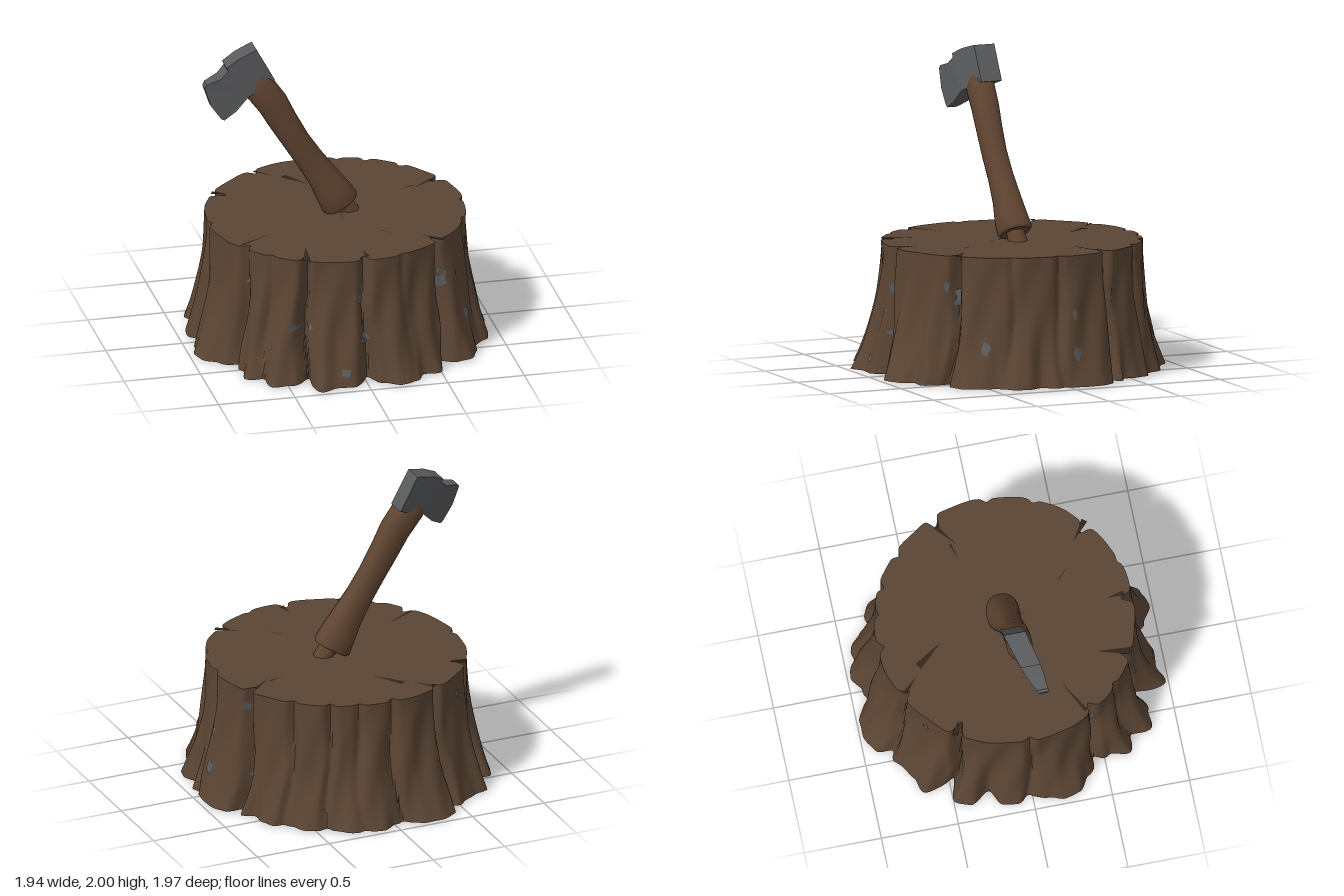
import * as THREE from 'three';
import { toCreasedNormals } from 'three/addons/utils/BufferGeometryUtils.js';

const mat = (name, color, side = THREE.FrontSide) => {
  const m = new THREE.MeshStandardMaterial({ color, side });
  m.name = name;
  return m;
};
const rad = THREE.MathUtils.degToRad;

// Root outline: radius at ground level every 6 degrees, from +x towards +z
const ROOTS = [
  .96, .955, .91, .98, .99, .94, .98, 1, .95, .91, .98, .93, 1.01, 1.01, .93,
  .87, .955, .96, 1.03, .93, .97, 1.03, .96, 1, .9, .9, .93, .99, .99, .95,
  .92, .945, .95, .87, .98, .99, .92, 1.01, .96, .95, .97, 1.01, 1.03, 1.01, .95,
  .92, .985, .98, .98, .95, .955, .96, .92, .96, .93, .88, .94, .96, .98, .975];
// Bark crevices: angle, depth
const CREVICES = [
  [3, .025], [24, .02], [50, .08], [72, .015], [90, .075], [117, .1], [133, .025], [148, .06],
  [180, .03], [213, .1], [243, .06], [268, .04], [284, .025], [297, .04], [314, .035], [337, .1]];

const topY = x => .826 + .012 * x;

// Point on the bark at an angle in degrees and a height fraction t
function bark(deg, t, out = 0) {
  const d = ((deg % 360) + 360) % 360, k = d / 6, i = Math.floor(k), f = k - i;
  const root = THREE.MathUtils.lerp(ROOTS[i], ROOTS[(i + 1) % 60], f * f * (3 - 2 * f));
  const a = rad(d), w = Math.pow(1 - t, 2.2);
  let r = THREE.MathUtils.lerp(.832, root, w);
  r += .006 * Math.sin(a * 13 + 3 * t) * Math.sin(a * 5 + 1);
  r += .012 * Math.sin(a * 23 + 5 * t) * Math.sin(Math.PI * t);
  CREVICES.forEach(([c, depth], n) => {
    const mid = c + 2 * Math.sin(t * 6 + n) * (1 - t);
    const off = Math.abs(((d - mid + 540) % 360) - 180);
    r -= depth * Math.exp(-((off / 1.9) ** 2));
  });
  r += out;
  const x = r * Math.cos(a);
  return [x, .008 + t * (topY(x) - .008), r * Math.sin(a)];
}

// Closed tube of rings; point(i, j) gives the position
function loft(cols, rows, point) {
  const pos = [], idx = [];
  for (let j = 0; j < rows; j++) for (let i = 0; i < cols; i++) pos.push(...point(i, j));
  for (let j = 0; j < rows - 1; j++) for (let i = 0; i < cols; i++) {
    const n = (i + 1) % cols, a = j * cols + i, b = j * cols + n;
    idx.push(a, a + cols, b, b, a + cols, b + cols);
  }
  return build(pos, idx);
}

// Fan that closes a ring
function cap(cols, centre, point, up) {
  const pos = [...centre], idx = [];
  for (let i = 0; i < cols; i++) {
    pos.push(...point(i));
    const a = i + 1, b = (i + 1) % cols + 1;
    idx.push(0, up ? b : a, up ? a : b);
  }
  return build(pos, idx);
}

function build(pos, idx) {
  const g = new THREE.BufferGeometry();
  g.setAttribute('position', new THREE.Float32BufferAttribute(pos, 3));
  g.setIndex(idx);
  g.computeVertexNormals();
  return g;
}

export function createModel() {
  const wood = mat('stump brown', 0x5b4534);
  const handleWood = mat('handle brown', 0x5f4431);
  const steel = mat('steel grey', 0x5a5b5d);
  const lichen = mat('lichen grey', 0x5a5d60, THREE.DoubleSide);
  const crackDark = mat('crack brown', 0x33261c, THREE.DoubleSide);

  const model = new THREE.Group();
  const add = (parent, name, geo, material) => {
    const m = new THREE.Mesh(geo, material);
    m.name = name;
    parent.add(m);
    return m;
  };
  const group = name => {
    const g = new THREE.Group();
    g.name = name;
    model.add(g);
    return g;
  };

  // Stump
  const stump = group('stump'), N = 360, ROWS = 15;
  add(stump, 'bark', toCreasedNormals(loft(N, ROWS, (i, j) => bark(i, j / (ROWS - 1))), .8), wood);
  add(stump, 'cutTop', cap(N, [0, topY(0), 0], i => bark(i, 1), true), wood);
  add(stump, 'underside', cap(N, [0, 0, 0], i => bark(i, 0), false), wood);

  // Cracks in the cut top: start, end, half width at the start
  const cracks = [
    [-.36, .74, -.32, .53, .025], [-.7, .39, -.48, .27, .012], [-.2, -.6, -.07, -.43, .025],
    [.57, -.24, .46, -.21, .008], [.02, .05, .02, .17, .004], [.2, .39, .28, .47, .004],
    [.7, -.31, .56, -.2, .015], [.56, .63, .43, .53, .02], [.03, .78, .02, .67, .018],
    [-.36, -.72, -.26, -.62, .014], [-.7, -.46, -.6, -.42, .02]];
  for (const [x0, z0, x1, z1, w] of cracks) {
    const l = Math.hypot(x1 - x0, z1 - z0), nx = -(z1 - z0) / l * w, nz = (x1 - x0) / l * w;
    const pts = [[x0 + nx, z0 + nz], [x1, z1], [x0 - nx, z0 - nz]];
    add(stump, 'crack', build(pts.flatMap(([x, z]) => [x, topY(x) + .003, z]), [0, 1, 2]), crackDark);
  }

  // Lichen spots on the bark: angle, height fraction, half angle, half height
  const spots = [
    [147, .7, 1.5, .03], [121, .44, 1.7, .025], [114, .45, 1, .025], [92, .67, 1.2, .05],
    [90, .33, 2, .045], [99, .11, 2, .03], [49, .67, 2.6, .08], [54, .76, 1, .04],
    [35, .3, 2, .05], [-3, .55, 1, .04], [-3, .25, 1.8, .05], [-21, .85, 1, .03],
    [-24, .29, 1, .03], [228, .85, 1.6, .03]];
  for (const [a, t, da, dt] of spots) {
    const rim = i => {
      const q = i / 10 * Math.PI * 2, s = 1 + .25 * Math.sin(i * 2.4 + a);
      return bark(a + da * s * Math.cos(q), t + dt * s * Math.sin(q), .006);
    };
    add(stump, 'lichen', cap(10, bark(a, t, .006), rim, true), lichen);
  }

  // Axe handle: centre x, y, z, half width, half depth, from the knob up
  const axe = group('axe'), SIDES = 20;
  const stations = [
    [.04, .868, -.005, .112, .09], [.03, .885, -.005, .125, .107], [-.015, .96, 0, .116, .1],
    [-.08, 1.07, 0, .1, .086], [-.17, 1.205, .003, .089, .077], [-.255, 1.335, .006, .087, .076],
    [-.34, 1.48, .003, .093, .078], [-.41, 1.61, 0, .1, .082], [-.505, 1.74, -.005, .103, .084],
    [-.53, 1.79, -.005, .08, .06]];
  const ring = (i, j) => {
    const [x, y, z, a, b] = stations[j], q = i / SIDES * Math.PI * 2;
    const round = v => Math.sign(v) * Math.abs(v) ** .85;
    const c = round(Math.cos(q)) * a, s = round(Math.sin(q)) * b;
    return [x + .86 * c, y + .51 * c, z + s];
  };
  add(axe, 'handle', loft(SIDES, stations.length, ring), handleWood);
  add(axe, 'handleEnd', cap(SIDES, stations[0].slice(0, 3), i => ring(i, 0), false), handleWood);

  // Splintered stub under the knob
  const stub = add(axe, 'handleStub', new THREE.CylinderGeometry(.06, .066, .14, 7), handleWood);
  stub.position.set(.07, .845, 0);
  stub.rotation.z = .57;

  // Axe head: flat outlines thickened, tapered and turned towards the blade
  const plate = pts => {
    const shape = new THREE.Shape(pts.map(p => new THREE.Vector2(...p)));
    const g = new THREE.ExtrudeGeometry(shape, { depth: 1, bevelEnabled: false });
    const p = g.attributes.position;
    for (let i = 0; i < p.count; i++) {
      const u = -(p.getX(i) + .46) * .87 - (p.getY(i) - 1.89) * .49;
      const half = u < .26 ? .071 - .03 * u : .063 - .2 * (u - .26);
      p.setZ(i, -.04 + .29 * u + (p.getZ(i) - .5) * 2 * half);
    }
    g.computeVertexNormals();
    return g;
  };
  add(axe, 'axeEye', plate([[-.4, 1.78], [-.52, 2], [-.64, 1.965], [-.73, 1.92], [-.72, 1.895], [-.59, 1.7]]), steel);
  add(axe, 'axeBlade', plate([[-.59, 1.7], [-.72, 1.895], [-.77, 1.852], [-.865, 1.825], [-.88, 1.805],
    [-.84, 1.68], [-.77, 1.58], [-.75, 1.57], [-.67, 1.62]]), steel);

  return model;
}
